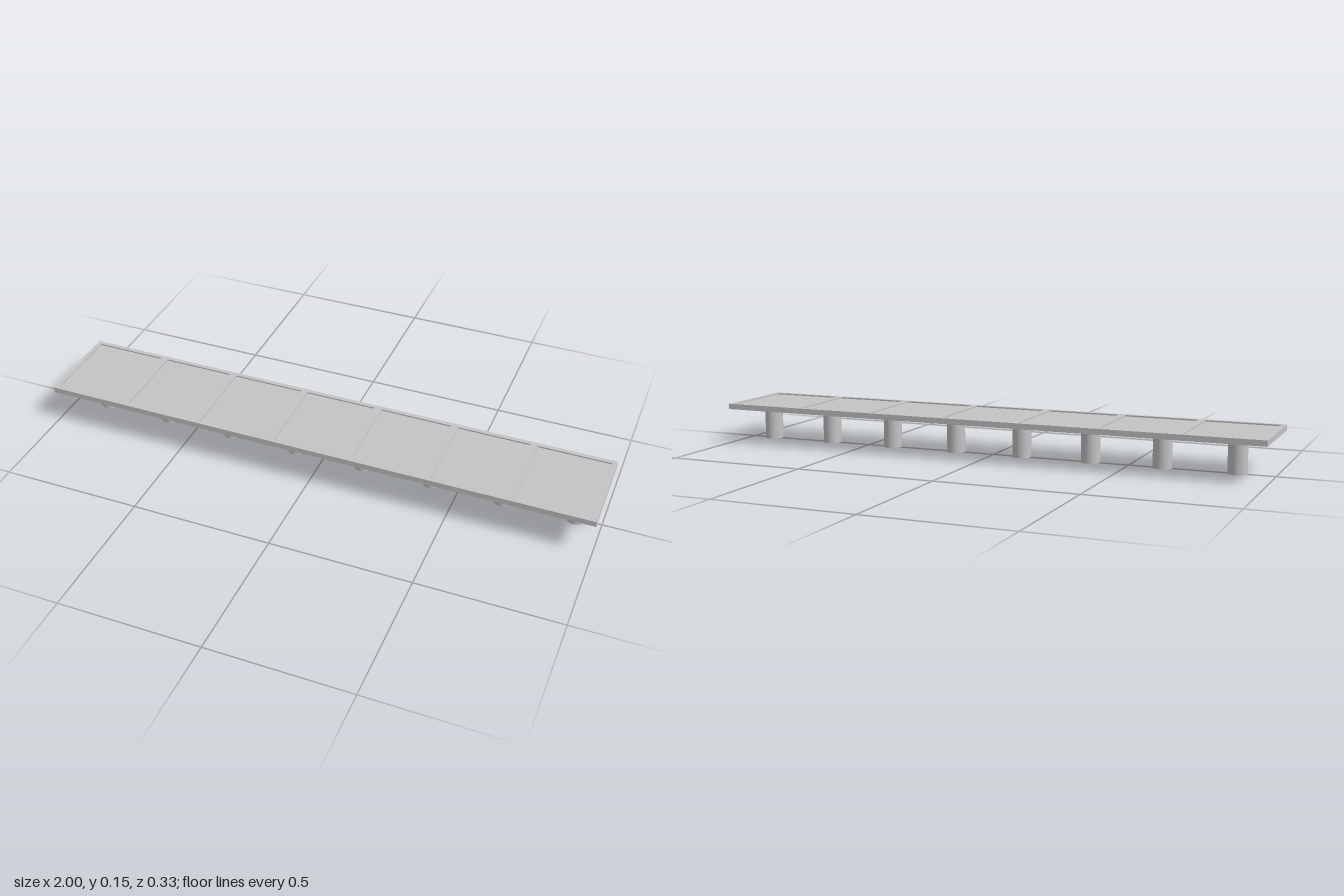
import * as THREE from 'three';

const HALF_X = 1, HALF_Z = 0.167, RIM = 0.016;
const BOTTOM = 0.127, FLOOR = 0.137, PANEL = 0.142, TOP = 0.147;

// Adds a closed rectangle to a shape or path
function rect(path, x0, x1, z) {
  path.moveTo(x0, -z);
  path.lineTo(x1, -z);
  path.lineTo(x1, z);
  path.lineTo(x0, z);
  path.closePath();
  return path;
}

// Horizontal slab between two heights with rectangular openings [x0, x1]
function slab(openings, y0, y1) {
  const shape = rect(new THREE.Shape(), -HALF_X, HALF_X, HALF_Z);
  for (const [x0, x1] of openings) shape.holes.push(rect(new THREE.Path(), x0, x1, HALF_Z - RIM));
  const geo = new THREE.ExtrudeGeometry(shape, { depth: y1 - y0, bevelEnabled: false });
  return geo.rotateX(-Math.PI / 2).translate(0, y0, 0);
}

export function createModel() {
  const group = new THREE.Group();
  const concrete = new THREE.MeshStandardMaterial({ color: 0xc4c4c4 });
  concrete.name = 'concrete grey';
  const add = (name, geo) => {
    const mesh = new THREE.Mesh(geo, concrete);
    mesh.name = name;
    group.add(mesh);
    return mesh;
  };

  // Raised top frame: border and cross ribs around seven shallow panels
  const panels = [], count = 7, rib = 0.026;
  const width = (2 * (HALF_X - RIM) - (count - 1) * rib) / count;
  for (let i = 0; i < count; i++) {
    const x = -HALF_X + RIM + i * (width + rib);
    panels.push([x, x + width]);
  }
  add('topFrame', slab(panels, PANEL, TOP));

  // Lower lip with one long recess underneath
  add('lowerRim', slab([[-HALF_X + RIM, HALF_X - RIM]], BOTTOM, PANEL));

  // Deck plate closing the recess
  const plate = new THREE.BoxGeometry(2 * (HALF_X - RIM), PANEL - FLOOR, 2 * (HALF_Z - RIM));
  add('deckPlate', plate).position.y = (PANEL + FLOOR) / 2;

  // Row of round supports
  const pillar = new THREE.CylinderGeometry(0.033, 0.033, FLOOR, 32);
  for (let i = 0; i < 8; i++) {
    add('pillar', pillar).position.set(-0.873 + i * 0.2548, FLOOR / 2, 0);
  }
  return group;
}
